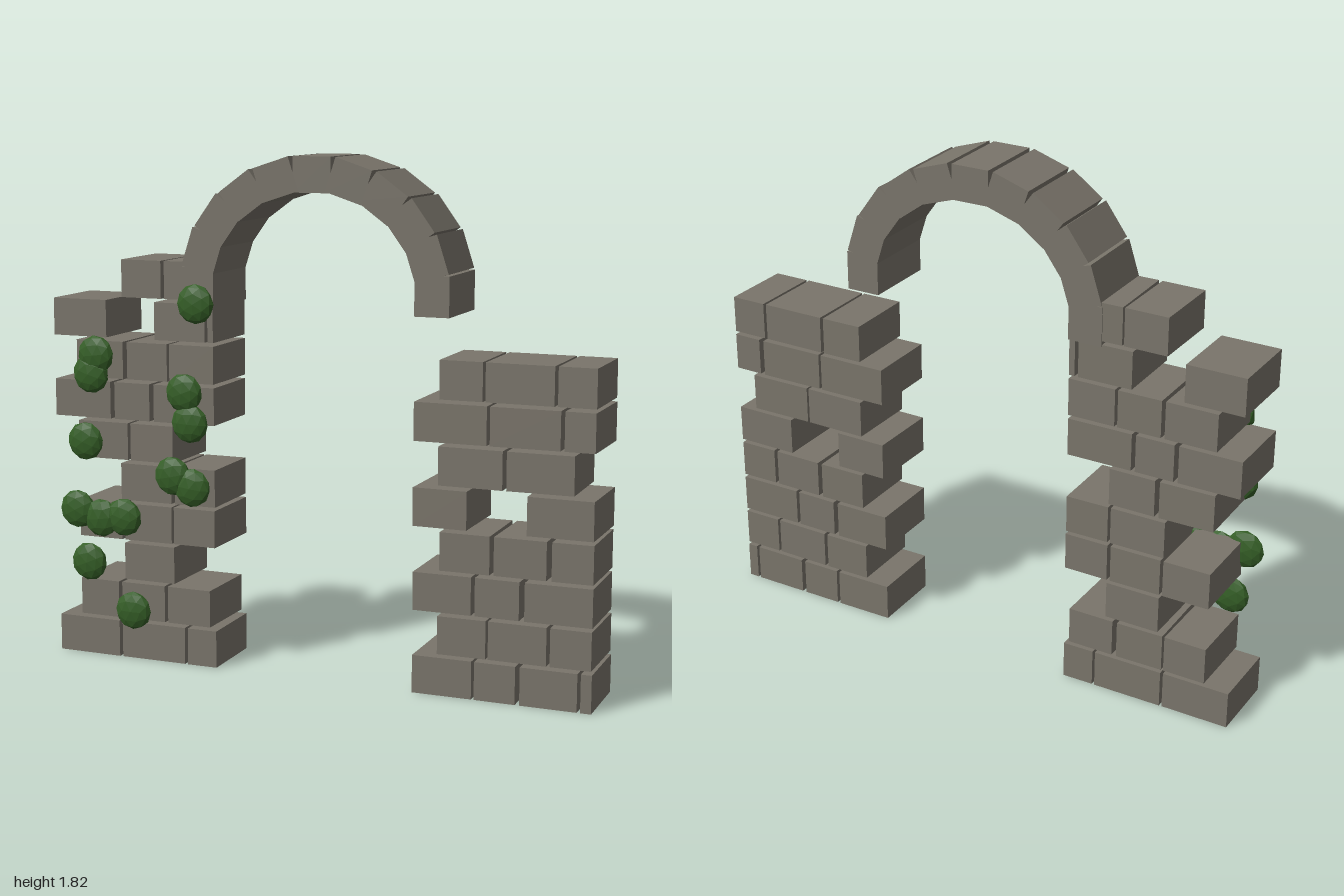
import * as THREE from 'three';

const stone = new THREE.MeshStandardMaterial({ color: 0x7a756b });
stone.name = 'weathered stone';
const leaf = new THREE.MeshStandardMaterial({ color: 0x355f27 });
leaf.name = 'ivy green';

const DEPTH = 0.264, MID_Z = -0.015;
const COURSE = 0.146, BRICK_H = 0.133;

// Each course, bottom to top: [start, end] of every surviving brick along x
const rightCourses = [
  [[-1, -0.757], [-0.746, -0.495], [-0.484, -0.372]],
  [[-0.91, -0.757], [-0.746, -0.575], [-0.56, -0.393]],
  [[-0.73, -0.532]],
  [[-0.91, -0.74], [-0.728, -0.543], [-0.532, -0.372]],
  [[-0.74, -0.54], [-0.528, -0.372]],
  [[-0.91, -0.714], [-0.7, -0.532]],
  [[-1, -0.778], [-0.762, -0.623], [-0.607, -0.372]],
  [[-0.91, -0.725], [-0.71, -0.553], [-0.543, -0.372]],
  [[-1, -0.789], [-0.6, -0.405], [-0.393, -0.372]],
  [[-0.725, -0.57], [-0.56, -0.374]],
];
const leftCourses = [
  [[0.368, 0.58], [0.591, 0.735], [0.751, 0.949], [0.96, 0.997]],
  [[0.457, 0.628], [0.639, 0.842], [0.853, 0.994]],
  [[0.368, 0.575], [0.591, 0.746], [0.762, 0.994]],
  [[0.463, 0.639], [0.655, 0.837], [0.853, 0.994]],
  [[0.368, 0.559], [0.767, 0.994]],
  [[0.457, 0.682], [0.693, 0.923]],
  [[0.368, 0.623], [0.634, 0.874], [0.89, 0.994]],
  [[0.457, 0.607], [0.618, 0.853], [0.864, 0.994]],
];

function buildPillar(name, courses) {
  const pillar = new THREE.Group();
  pillar.name = name;
  courses.forEach((course, row) => {
    course.forEach(([a, b], i) => {
      const brick = new THREE.Mesh(new THREE.BoxGeometry(b - a, BRICK_H, DEPTH), stone);
      brick.name = 'brick';
      brick.position.set((a + b) / 2, row * COURSE + BRICK_H / 2, MID_Z);
      // Slightly uneven laying
      brick.rotation.y = 0.012 * Math.sin(row * 5.3 + i * 2.1 + a * 7);
      pillar.add(brick);
    });
  });
  return pillar;
}

// Eleven overlapping blocks whose outer corners leave V-shaped joints
function buildArch() {
  const arch = new THREE.Group();
  arch.name = 'arch';
  const geometry = new THREE.BoxGeometry(0.137, 0.122, DEPTH + 0.006);
  for (let i = 0; i <= 10; i++) {
    const angle = (i / 10) * Math.PI;
    const block = new THREE.Mesh(geometry, stone);
    block.name = 'archBlock';
    block.position.set(0.429 * Math.cos(angle), 1.363 + 0.392 * Math.sin(angle), MID_Z);
    block.rotation.z = angle - Math.PI / 2;
    arch.add(block);
  }
  return arch;
}

// Flattened leaf clumps clinging to the front of the tall pillar
function buildIvy() {
  const ivy = new THREE.Group();
  ivy.name = 'ivy';
  const geometry = new THREE.IcosahedronGeometry(0.07, 1);
  geometry.scale(1, 1, 0.38);
  geometry.computeVertexNormals(); // unshared corners keep the facets flat
  const spots = [
    [-0.436, 1.302], [-0.832, 1.104], [-0.853, 1.035], [-0.484, 0.987], [-0.463, 0.88],
    [-0.88, 0.789], [-0.532, 0.687], [-0.457, 0.65], [-0.917, 0.537], [-0.821, 0.511],
    [-0.73, 0.521], [-0.874, 0.345], [-0.698, 0.179],
  ];
  spots.forEach(([x, y], i) => {
    const clump = new THREE.Mesh(geometry, leaf);
    clump.name = 'leafClump';
    clump.position.set(x, y, 0.122);
    clump.rotation.z = i * 1.7;
    ivy.add(clump);
  });
  return ivy;
}

export function createModel() {
  const model = new THREE.Group();
  model.name = 'ruinedArch';
  model.add(
    buildPillar('rightPillar', rightCourses),
    buildPillar('leftPillar', leftCourses),
    buildArch(),
    buildIvy(),
  );
  return model;
}
